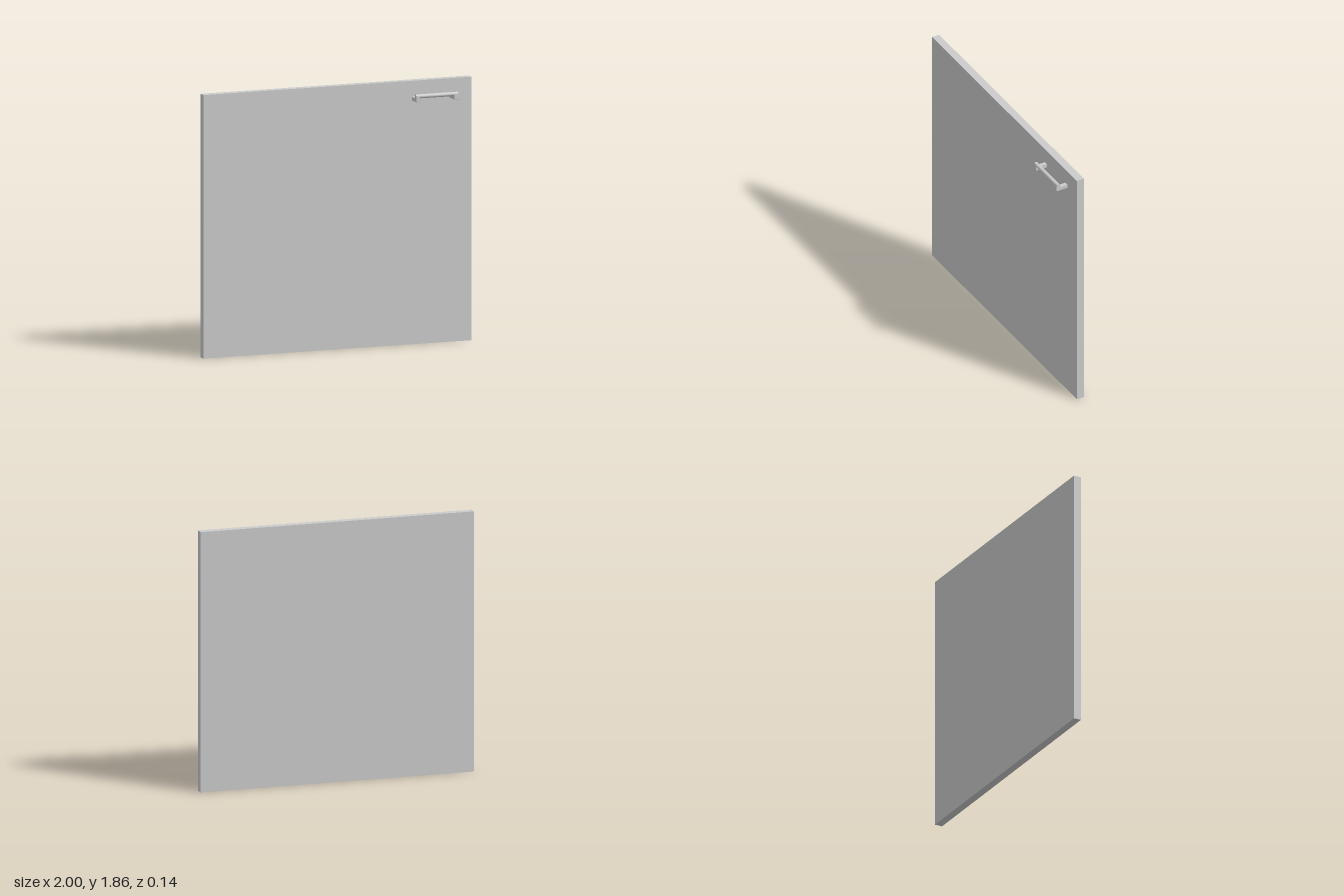
import * as THREE from 'three';

const material = new THREE.MeshStandardMaterial({ color: 0xcccccc });

// Extrude a (z, y) profile along x, from x0 to x1
function extrudeX(name, shape, x0, x1) {
  const geometry = new THREE.ExtrudeGeometry(shape, { depth: x1 - x0, bevelEnabled: false, curveSegments: 12 });
  geometry.rotateY(-Math.PI / 2);
  geometry.translate(x1, 0, 0);
  const mesh = new THREE.Mesh(geometry, material);
  mesh.name = name;
  return mesh;
}

export function createModel() {
  const model = new THREE.Group();
  model.name = 'cabinetDoor';

  // Flat door slab
  const panel = new THREE.Mesh(new THREE.BoxGeometry(2, 1.86, 0.056), material);
  panel.name = 'doorPanel';
  panel.position.set(0, 0.93, -0.043);
  model.add(panel);

  // Handle near the top left corner of the door
  const handle = new THREE.Group();
  handle.name = 'handle';
  const back = -0.015, front = 0.071, r = 0.0145;
  const barZ = front - r, barY = 1.7605;
  const bottom = 1.722, postTop = 1.748;

  // L-shaped end bracket with a rounded top and a small inner fillet
  const bracket = new THREE.Shape();
  bracket.moveTo(back, bottom);
  bracket.lineTo(front - 0.004, bottom);
  bracket.quadraticCurveTo(front, bottom, front, bottom + 0.004);
  bracket.lineTo(front, barY);
  bracket.absarc(barZ, barY, r, 0, Math.PI, false);
  bracket.quadraticCurveTo(barZ - r, postTop, barZ - r - 0.007, postTop);
  bracket.lineTo(back, postTop);
  bracket.closePath();
  handle.add(extrudeX('handleBracketRight', bracket, 0.555, 0.584));
  handle.add(extrudeX('handleBracketLeft', bracket, 0.84, 0.869));

  // Round grip bar between the brackets
  const grip = new THREE.Mesh(new THREE.CylinderGeometry(r, r, 0.256, 24, 1, true), material);
  grip.name = 'handleGrip';
  grip.rotation.z = Math.PI / 2;
  grip.position.set(0.712, barY, barZ);
  handle.add(grip);

  model.add(handle);
  return model;
}
